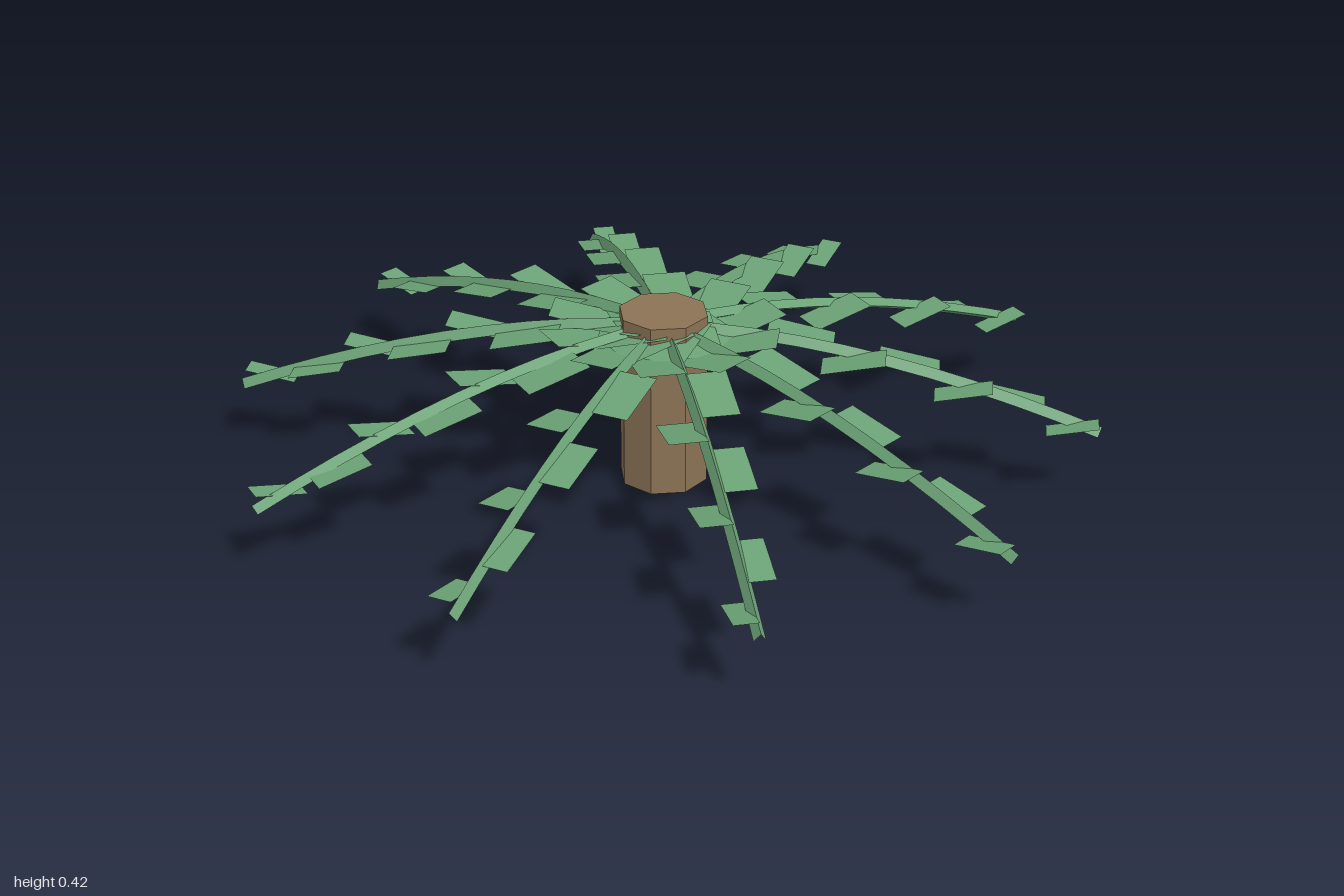
import * as THREE from 'three';

const FRONDS = 10;
const LEAFLETS = 8;
const REACH = 0.995;

export function createModel() {
  const model = new THREE.Group();
  model.name = 'palmCrown';

  const bark = new THREE.MeshStandardMaterial({ color: 0x8b7355, flatShading: true });
  const green = new THREE.MeshStandardMaterial({ color: 0x6ba276, flatShading: true });
  const leafGreen = new THREE.MeshStandardMaterial({ color: 0x6ba276, flatShading: true, side: THREE.DoubleSide });

  // Eight-sided trunk stub
  const trunk = new THREE.Mesh(new THREE.CylinderGeometry(0.104, 0.104, 0.42, 8), bark);
  trunk.name = 'trunk';
  trunk.position.y = 0.21;
  model.add(trunk);

  for (let f = 0; f < FRONDS; f++) {
    const angle = (f / FRONDS) * Math.PI * 2;
    const at = (r, y) => new THREE.Vector3(Math.cos(angle) * r, y, Math.sin(angle) * r);
    const frond = new THREE.Group();
    frond.name = 'frond';

    // Drooping three-sided stem
    const curve = new THREE.QuadraticBezierCurve3(at(0, 0.385), at(0.45, 0.385), at(REACH, 0.173));
    const stem = new THREE.Mesh(new THREE.TubeGeometry(curve, 10, 0.015, 3), green);
    stem.name = 'stem';
    frond.add(stem);

    // Flat leaflets on alternating sides, shrinking outward, pitched up or down by side
    for (let i = 0; i < LEAFLETS; i++) {
      const t = (i + 0.5) / LEAFLETS;
      const side = i % 2 ? 1 : -1;
      const length = 0.172 - 0.056 * t;
      const width = 0.115 - 0.065 * t;
      const geometry = new THREE.PlaneGeometry(length, width);
      geometry.rotateX(-Math.PI / 2);
      geometry.translate(0, 0, (side * width) / 2);
      const leaflet = new THREE.Mesh(geometry, leafGreen);
      leaflet.name = 'leaflet';
      leaflet.position.copy(curve.getPointAt(t));
      leaflet.position.setX(Math.cos(angle) * t * REACH).setZ(Math.sin(angle) * t * REACH);
      leaflet.rotation.set(0, -angle, side * 0.2);
      frond.add(leaflet);
    }
    model.add(frond);
  }
  return model;
}
